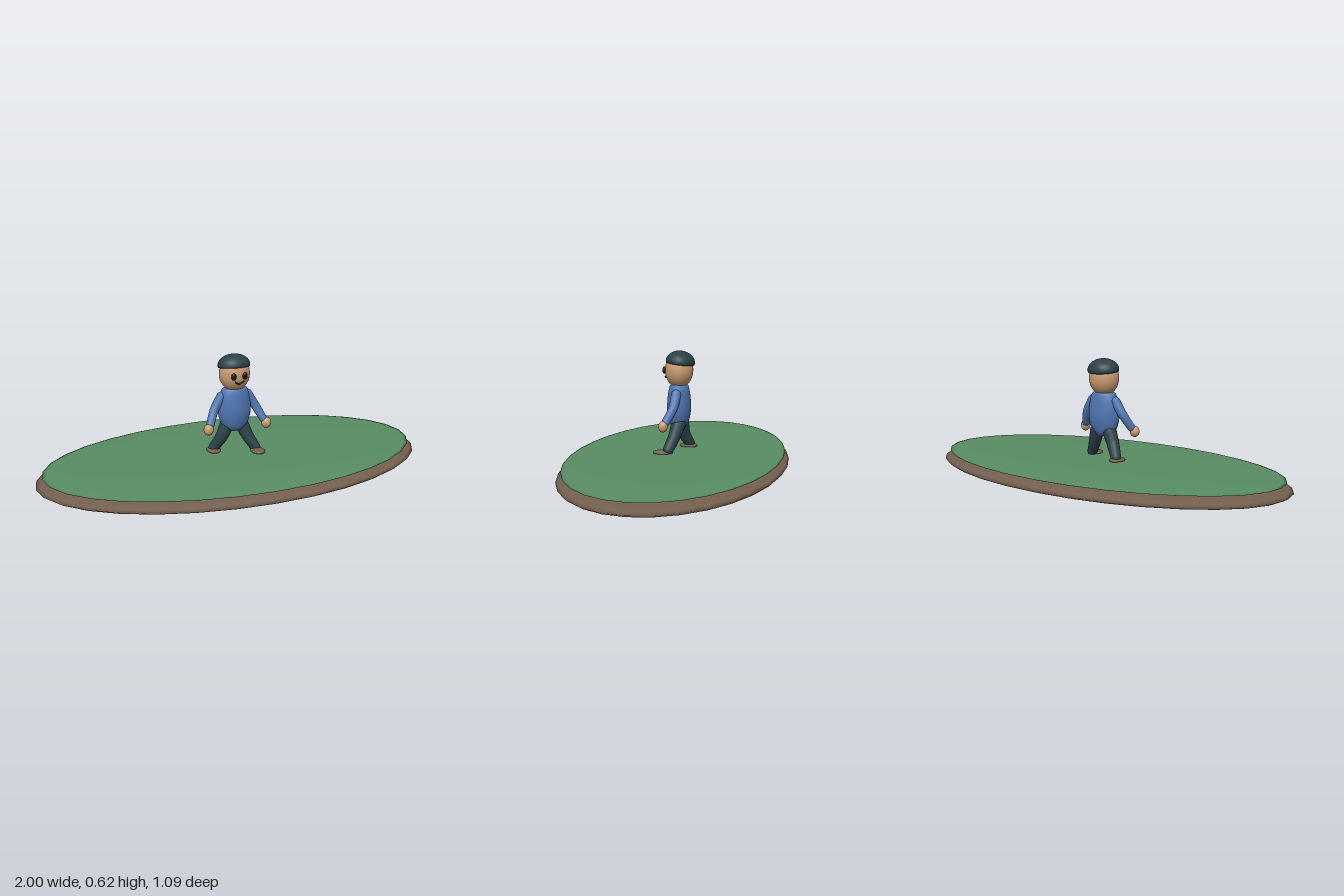
import * as THREE from 'three';

const mat = (name, color, side = THREE.FrontSide) => {
  const m = new THREE.MeshStandardMaterial({ color, side });
  m.name = name;
  return m;
};

export function createModel() {
  const model = new THREE.Group();
  model.name = 'figureOnIsland';

  const earth = mat('earthBrown', 0x735f4e);
  const grass = mat('grassGreen', 0x588d63);
  const skin = mat('skin', 0xcd9d73);
  const shirt = mat('shirtBlue', 0x4f77b3);
  const dark = mat('darkTeal', 0x2a4148);
  const black = mat('black', 0x15191d);

  const add = (name, geometry, material, pos = [0, 0, 0], parent = model) => {
    const mesh = new THREE.Mesh(geometry, material);
    mesh.name = name;
    mesh.position.set(...pos);
    parent.add(mesh);
    return mesh;
  };
  const ellipsoid = (name, material, pos, radii, ws = 24, hs = 16) => {
    const g = new THREE.SphereGeometry(1, ws, hs).scale(...radii);
    return add(name, g, material, pos);
  };
  // Round limb through a few joints, with a radius that narrows to the end
  const limb = (name, material, points, r0, r1) => {
    const curve = new THREE.CatmullRomCurve3(points.map(p => new THREE.Vector3(...p)));
    const rings = 14, sides = 16;
    const g = new THREE.TubeGeometry(curve, rings, 1, sides);
    const p = g.attributes.position, v = new THREE.Vector3();
    for (let i = 0; i < p.count; i++) {
      const t = Math.floor(i / (sides + 1)) / rings;
      const c = curve.getPointAt(t);
      v.fromBufferAttribute(p, i).sub(c).multiplyScalar(r0 + (r1 - r0) * t).add(c);
      p.setXYZ(i, v.x, v.y, v.z);
    }
    add(name, g, material);
    // Rounded ends
    ellipsoid(name + 'Top', material, points[0], [r0, r0, r0], 16, 10);
    ellipsoid(name + 'End', material, points[points.length - 1], [r1, r1, r1], 16, 10);
  };

  // Island: two flattened ellipsoids
  ellipsoid('earthBase', earth, [0, 0.06, 0], [1, 0.056, 0.545], 32, 16);
  ellipsoid('grassTop', grass, [0, 0.104, 0], [0.967, 0.017, 0.525], 32, 16);

  // Torso, flattened front to back
  const profile = [[0, 0.226], [0.035, 0.232], [0.062, 0.255], [0.079, 0.295], [0.085, 0.34],
    [0.08, 0.395], [0.07, 0.435], [0.055, 0.452], [0, 0.458]];
  const spline = new THREE.SplineCurve(profile.map(p => new THREE.Vector2(...p)));
  const outline = spline.getPoints(28).map(p => new THREE.Vector2(Math.max(0, p.x), p.y));
  add('torso', new THREE.LatheGeometry(outline, 28).scale(1, 1, 0.69), shirt);

  // Head and cap of hair
  ellipsoid('head', skin, [0, 0.525, 0], [0.078, 0.09, 0.07], 28, 20);
  const capProfile = [];
  for (let i = 0; i <= 12; i++) {
    const a = -0.15 + (i / 12) * (Math.PI / 2 + 0.15);
    capProfile.push(new THREE.Vector2(Math.max(0, Math.cos(a)), Math.sin(a)));
  }
  capProfile.unshift(new THREE.Vector2(0, Math.sin(-0.15)));
  const cap = add('hair', new THREE.LatheGeometry(capProfile, 28).scale(0.082, 0.055, 0.072),
    dark, [0, 0.565, -0.006]);
  cap.rotation.x = -0.13;

  // Smile
  const smile = new THREE.CatmullRomCurve3([
    new THREE.Vector3(-0.024, 0.498, 0.066),
    new THREE.Vector3(0, 0.486, 0.066),
    new THREE.Vector3(0.024, 0.498, 0.066),
  ]);
  add('mouth', new THREE.TubeGeometry(smile, 12, 0.004, 8), black);

  for (const s of [1, -1]) {
    const side = s > 0 ? 'left' : 'right';
    ellipsoid(side + 'Eye', black, [s * 0.029, 0.525, 0.068], [0.013, 0.018, 0.01], 16, 12);

    // Arms hang outward and bend forward
    limb(side + 'Arm', shirt,
      [[s * 0.07, 0.41, 0], [s * 0.108, 0.35, 0.006], [s * 0.142, 0.282, 0.036]], 0.025, 0.02);
    ellipsoid(side + 'Hand', skin, [s * 0.154, 0.263, 0.047], [0.025, 0.028, 0.023], 18, 14);

    // Legs stride: left forward, right back
    limb(side + 'Leg', dark,
      [[s * 0.038, 0.26, -0.006], [s * 0.066, 0.195, s * 0.012], [s * 0.1, 0.135, s * 0.035]],
      0.036, 0.026);
    const shoe = ellipsoid(side + 'Shoe', earth, [s * 0.102, 0.125, s > 0 ? 0.063 : -0.028],
      [0.035, 0.013, 0.047], 20, 12);
    shoe.rotation.y = s * 0.08;
  }
  return model;
}
